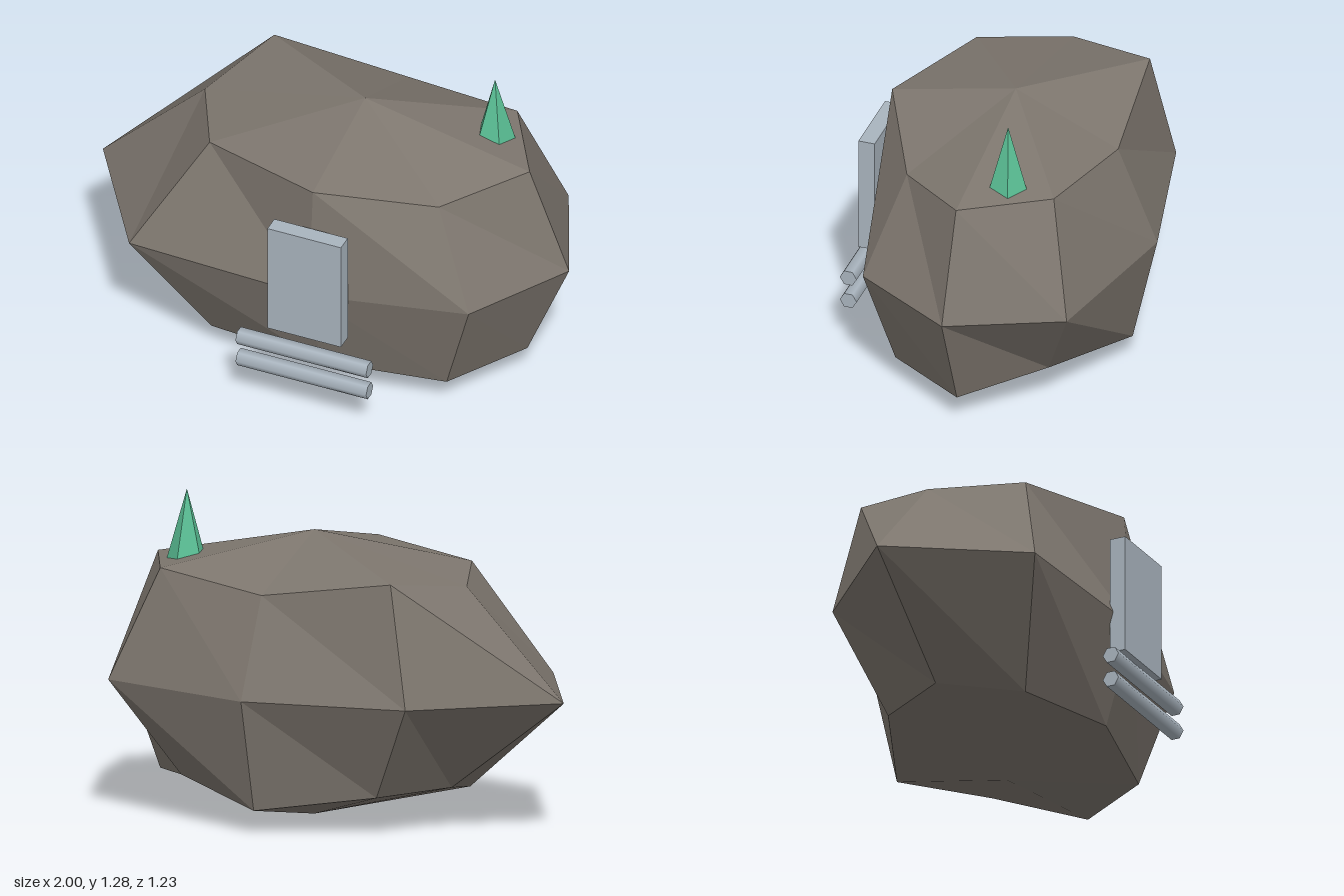
import * as THREE from 'three';

export function createModel() {
  const stone = new THREE.MeshStandardMaterial({ color: 0x7d766e, flatShading: true });
  stone.name = 'stone';
  const metal = new THREE.MeshStandardMaterial({ color: 0xa9b4be });
  metal.name = 'pale metal';
  const crystal = new THREE.MeshStandardMaterial({ color: 0x5abf95, flatShading: true });
  crystal.name = 'green crystal';

  const model = new THREE.Group();
  model.name = 'asteroidOutpost';
  const add = (name, geometry, material, x, y, z) => {
    const mesh = new THREE.Mesh(geometry, material);
    mesh.name = name;
    mesh.position.set(x, y, z);
    model.add(mesh);
    return mesh;
  };

  // Boulder: a coarse sphere with every vertex pushed in or out.
  // Rings run from the right tip round the front, then the left and the back.
  const push = [
    [0.949],
    [0.972, 1.034, 1.093, 0.89, 0.998, 1.012, 0.905, 1.097],
    [1.125, 1.11, 0.832, 0.884, 0.875, 0.957, 0.885, 0.927],
    [0.876, 1.023, 0.926, 0.985, 0.984, 0.875, 1.034, 0.894],
    [0.884],
  ];
  const rock = new THREE.SphereGeometry(1, 8, 4);
  const p = rock.attributes.position;
  for (let i = 0; i < p.count; i++) {
    const ring = push[Math.floor(i / 9)];
    const f = ring[(i % 9) % ring.length % 8];
    p.setXYZ(i, p.getX(i) * f, p.getY(i) * f * 0.622, p.getZ(i) * f * 0.667);
  }
  rock.computeVertexNormals();
  add('boulder', rock, stone, 0.125, 0.555, -0.02);

  // Door slab set into the front
  add('door', new THREE.BoxGeometry(0.315, 0.49, 0.068), metal, 0.125, 0.625, 0.547);

  // Two six-sided rails below the door
  for (const [name, y] of [['upperRail', 0.306], ['lowerRail', 0.202]]) {
    const rail = add(name, new THREE.CylinderGeometry(0.035, 0.035, 0.56, 6), metal, 0.125, y, 0.58);
    rail.rotation.z = Math.PI / 2;
  }

  // Crystal spike rooted in the top
  const spike = add('crystalSpike', new THREE.ConeGeometry(0.086, 0.3, 5), crystal, 0.62, 1.135, -0.163);
  spike.rotation.y = Math.PI;

  return model;
}
